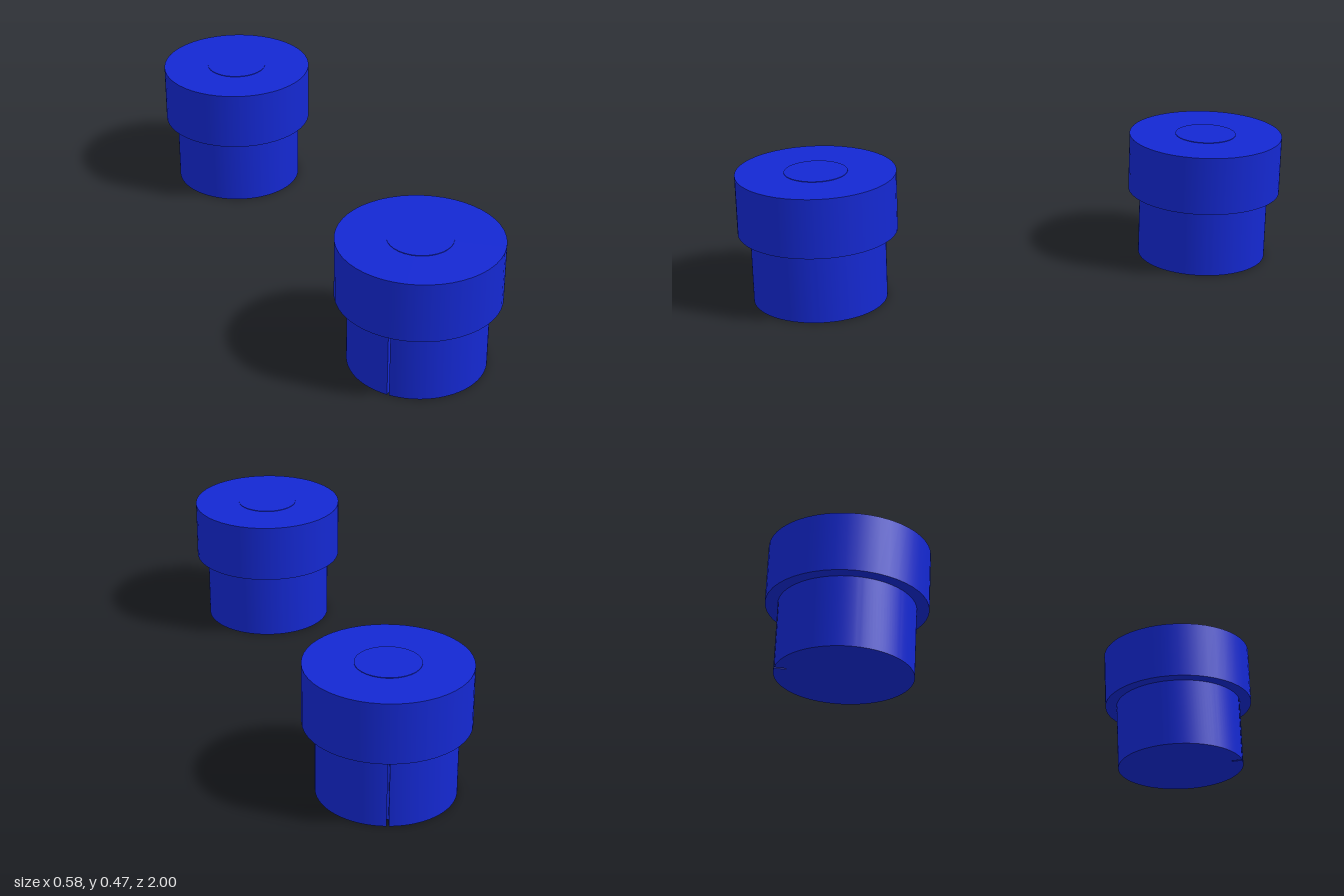
import * as THREE from 'three';
import { toCreasedNormals } from 'three/addons/utils/BufferGeometryUtils.js';

const HEAD_R = 0.278, STEM_R = 0.235, STEP_Y = 0.253, TOP_Y = 0.465;

// Round stem with one narrow vertical slit on its local +x side
function stemGeometry() {
  const half = 0.015, inner = STEM_R - 0.04;
  const shape = new THREE.Shape();
  shape.absarc(0, 0, STEM_R, half, Math.PI * 2 - half, false);
  shape.lineTo(inner, -half * STEM_R);
  shape.lineTo(inner, half * STEM_R);
  shape.closePath();
  const geo = new THREE.ExtrudeGeometry(shape, { depth: STEP_Y, bevelEnabled: false, curveSegments: 64 });
  geo.rotateX(-Math.PI / 2);
  return toCreasedNormals(geo, Math.PI / 6);
}

export function createModel() {
  const group = new THREE.Group();
  const blue = new THREE.MeshStandardMaterial({ color: 0x1428d2 });

  function makePlug(name, x, z, slitAngle) {
    const plug = new THREE.Group();
    plug.name = name;
    plug.position.set(x, 0, z);

    const stem = new THREE.Mesh(stemGeometry(), blue);
    stem.name = 'stem';
    stem.rotation.y = slitAngle;

    // Wide flat-topped cap
    const head = new THREE.Mesh(
      new THREE.CylinderGeometry(HEAD_R, HEAD_R, TOP_Y - STEP_Y, 48), blue);
    head.name = 'head';
    head.position.y = (TOP_Y + STEP_Y) / 2;

    // Faint disc in the middle of the cap
    const disc = new THREE.Mesh(new THREE.CylinderGeometry(0.11, 0.11, 0.004, 32), blue);
    disc.name = 'centreDisc';
    disc.position.y = TOP_Y;

    plug.add(stem, head, disc);
    group.add(plug);
  }

  makePlug('frontPlug', 0.01, 0.722, Math.atan2(-0.62, -0.78));
  makePlug('backPlug', -0.01, -0.722, Math.atan2(0.96, 0.29));
  return group;
}
